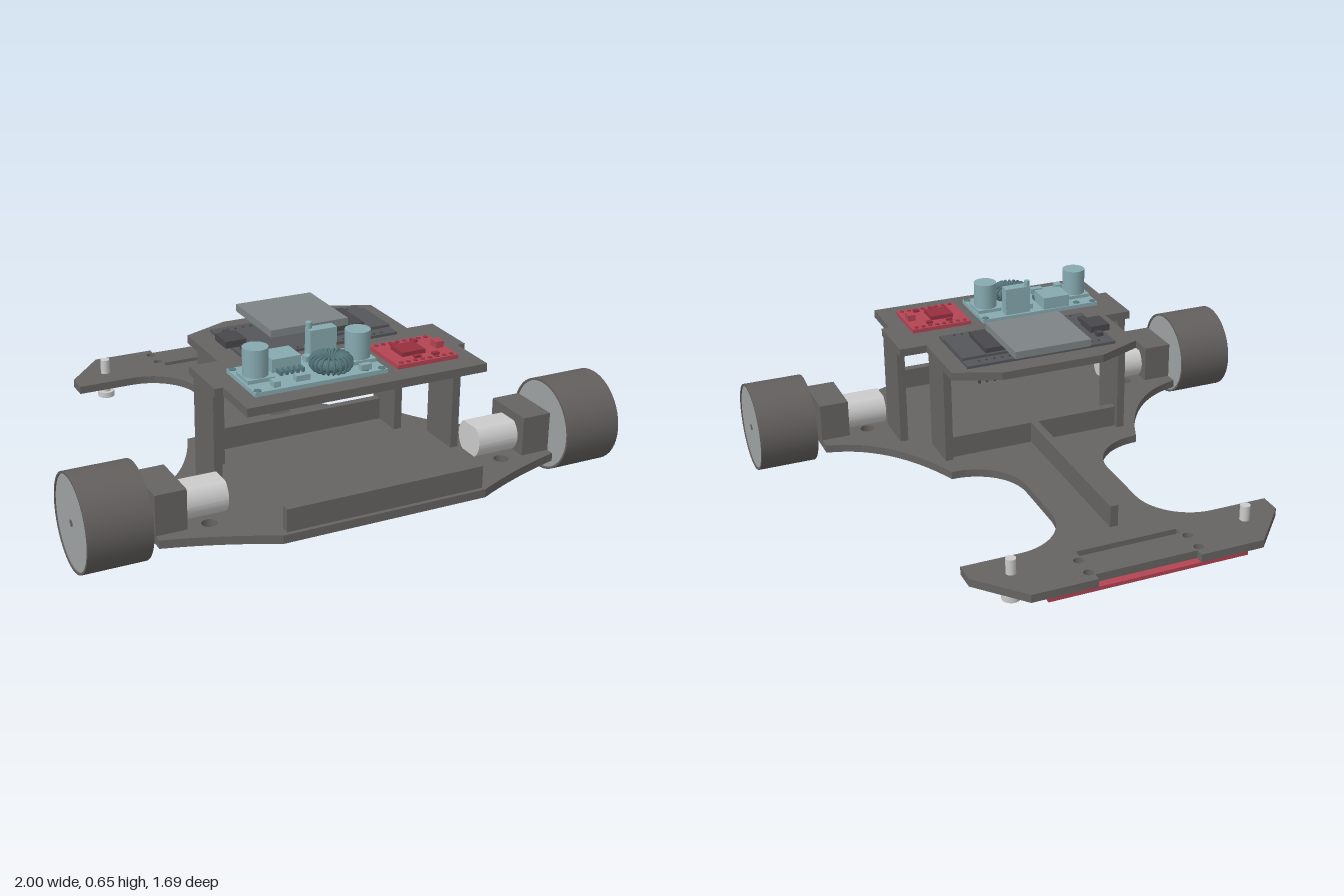
import * as THREE from 'three';

const mat = (color) => new THREE.MeshStandardMaterial({ color });
const M = {
  frame: mat(0x666462), tyre: mat(0x625f5d), hub: mat(0x9fa3a4), metal: mat(0xcccccc),
  pcb: mat(0x55565a), chip: mat(0x48484b), screen: mat(0x7d8485),
  teal: mat(0x86aab0), coil: mat(0x56777c), red: mat(0xb34453), darkRed: mat(0x96303f),
};

export function createModel() {
  const root = new THREE.Group();

  const add = (name, geo, material, parent = root) => {
    const m = new THREE.Mesh(geo, material);
    m.name = name;
    parent.add(m);
    return m;
  };
  // Box given by its extents on each axis
  const box = (name, [x0, x1], [y0, y1], [z0, z1], material, parent) => {
    const m = add(name, new THREE.BoxGeometry(x1 - x0, y1 - y0, z1 - z0), material, parent);
    m.position.set((x0 + x1) / 2, (y0 + y1) / 2, (z0 + z1) / 2);
    return m;
  };
  // Upright cylinder
  const post = (name, x, z, r, y0, y1, material, parent, n = 24) => {
    const m = add(name, new THREE.CylinderGeometry(r, r, y1 - y0, n), material, parent);
    m.position.set(x, (y0 + y1) / 2, z);
    return m;
  };
  // Cylinder along x
  const axle = (name, x0, x1, y, z, r, material, parent, n = 32) => {
    const m = add(name, new THREE.CylinderGeometry(r, r, x1 - x0, n), material, parent);
    m.rotation.z = Math.PI / 2;
    m.position.set((x0 + x1) / 2, y, z);
    return m;
  };
  const group = (name) => {
    const g = new THREE.Group();
    g.name = name;
    root.add(g);
    return g;
  };
  // Flat plate from the +x half of an (x, z) outline, mirrored, with holes
  const plate = (name, half, y0, y1, holes, material, parent) => {
    const pts = half.getPoints(14);
    const mirrored = pts.map((p) => new THREE.Vector2(-p.x, p.y)).reverse();
    const shape = new THREE.Shape([...pts, ...mirrored]);
    shape.holes = holes;
    const geo = new THREE.ExtrudeGeometry(shape, { depth: y1 - y0, bevelEnabled: false });
    geo.rotateX(Math.PI / 2).translate(0, y1, 0);
    return add(name, geo, material, parent);
  };
  const outline = (...pts) => {
    const s = new THREE.Path();
    pts.forEach(([x, z], i) => (i ? s.lineTo(x, z) : s.moveTo(x, z)));
    return s;
  };
  const round = (x, z, r) => new THREE.Path().absarc(x, z, r, 0, Math.PI * 2, true);
  const slot = (x0, x1, z0, z1) => outline([x0, z0], [x0, z1], [x1, z1], [x1, z0]);
  const both = (fn) => [-1, 1].map(fn);

  // Chassis plate with waist, rear crossbar and wheel wings
  const half = outline([0.19, -0.82], [0.19, -0.85], [0.43, -0.85], [0.58, -0.68], [0.58, -0.6], [0.365, -0.6]);
  half.bezierCurveTo(0.255, -0.6, 0.165, -0.51, 0.165, -0.4);
  half.lineTo(0.165, -0.17);
  half.bezierCurveTo(0.165, -0.06, 0.255, 0.03, 0.38, 0.03);
  half.quadraticCurveTo(0.51, 0.375, 0.75, 0.42);
  half.lineTo(0.75, 0.7);
  half.quadraticCurveTo(0.56, 0.75, 0.38, 0.84);
  const holes = [slot(-0.19, 0.19, -0.695, -0.665)];
  both((s) => {
    for (const z of [-0.8, -0.72]) holes.push(round(s * 0.205, z, 0.018));
    for (const z of [0.5, 0.66]) holes.push(round(s * 0.56, z, 0.027));
  });
  plate('chassisPlate', half, 0.088, 0.118, holes, M.frame);

  // Stiffening ribs
  box('spineRib', [-0.015, 0.015], [0.118, 0.2], [-0.565, 0.14], M.frame);
  box('crossRib', [-0.34, 0.34], [0.118, 0.2], [0.14, 0.17], M.frame);
  box('frontRib', [-0.36, 0.375], [0.118, 0.2], [0.793, 0.825], M.frame);

  // Line sensor board below the crossbar
  plate('sensorBoard', outline([0.37, -0.85], [0.37, -0.66]), 0.074, 0.088,
    both((s) => round(s * 0.205, -0.8, 0.017)), M.red);

  // Raised deck and its four uprights
  plate('deck', outline([0.2, -0.042], [0.37, 0.03], [0.37, 0.3], [0.475, 0.3], [0.475, 0.52],
    [0.445, 0.52], [0.445, 0.71]), 0.49, 0.52, [], M.frame);

  both((s) => {
    const span = (a, b) => (s > 0 ? [a, b] : [-b, -a]);
    box('frontUpright', span(0.445, 0.475), [0.118, 0.515], [0.34, 0.505], M.frame);
    box('rearUpright', span(0.34, 0.37), [0.118, 0.49], [0.12, 0.28], M.frame);

    // Skid bolt with nut at the rear
    const bolt = group('skidBolt');
    post('boltShaft', s * 0.44, -0.7, 0.018, 0.03, 0.175, M.metal, bolt);
    post('boltHead', s * 0.44, -0.7, 0.033, 0.02, 0.042, M.metal, bolt);
    post('boltNut', s * 0.44, -0.7, 0.03, 0.066, 0.088, M.metal, bolt, 6);

    // Gear motor: can with flattened top and bottom
    const drive = group('gearMotor');
    box('gearbox', span(0.64, 0.75), [0.118, 0.262], [0.47, 0.67], M.frame, drive);
    const can = new THREE.CylinderGeometry(0.068, 0.068, 0.16, 48);
    const p = can.attributes.position;
    for (let i = 0; i < p.count; i++) p.setX(i, THREE.MathUtils.clamp(p.getX(i), -0.055, 0.055));
    can.computeVertexNormals();
    const motor = add('motorCan', can, M.metal, drive);
    motor.rotation.z = Math.PI / 2;
    motor.position.set(s * 0.56, 0.175, 0.57);
    axle('motorShaft', ...span(0.74, 0.985), 0.177, 0.575, 0.017, M.metal, drive);

    // Wheel: tyre ring around a slightly recessed hub
    const wheel = group('wheel');
    const profile = [[0.16, -0.11], [0.168, -0.11], [0.168, 0.11], [0.16, 0.11], [0.16, -0.11]];
    const ring = profile.slice(1).map((b, i) => [profile[i], b]);
    for (const pair of ring) {
      const lathe = new THREE.LatheGeometry(pair.map(([r, y]) => new THREE.Vector2(r, y)), 48);
      const t = add('tyre', lathe, M.tyre, wheel);
      t.rotation.z = Math.PI / 2;
      t.position.set(s * 0.89, 0.177, 0.575);
    }
    axle('hub', ...span(0.784, 0.996), 0.177, 0.575, 0.161, M.hub, wheel, 48);
    axle('hubBore', ...span(0.99, 0.998), 0.177, 0.575, 0.012, M.tyre, wheel);
  });

  // Voltage converter board
  const conv = group('converterBoard');
  box('converterPcb', [-0.385, 0.1], [0.52, 0.535], [0.41, 0.64], M.teal, conv);
  for (const x of [-0.33, 0.048]) {
    box('capacitorBase', [x - 0.048, x + 0.048], [0.535, 0.548], [0.472, 0.568], M.teal, conv);
    post('capacitor', x, 0.52, 0.044, 0.548, 0.645, M.teal, conv);
  }
  box('regulator', [-0.265, -0.158], [0.535, 0.582], [0.415, 0.51], M.teal, conv);
  for (let i = 0; i < 5; i++) {
    const x = -0.25 + i * 0.02;
    box('regulatorLead', [x, x + 0.01], [0.535, 0.55], [0.51, 0.545], M.coil, conv);
  }
  box('trimmer', [-0.1, 0], [0.535, 0.64], [0.42, 0.462], M.teal, conv);
  post('trimmerScrew', -0.092, 0.432, 0.011, 0.64, 0.662, M.teal, conv);
  for (const [x, z, w, d] of [[-0.2, 0.6, 0.05, 0.025], [-0.3, 0.61, 0.025, 0.035], [-0.11, 0.46, 0.025, 0.03], [0.03, 0.61, 0.04, 0.02]])
    box('smallPart', [x - w / 2, x + w / 2], [0.535, 0.555], [z - d / 2, z + d / 2], M.teal, conv);
  for (const [x, z] of [[-0.305, 0.435], [0.028, 0.615], [-0.37, 0.425], [-0.37, 0.625], [0.085, 0.425], [0.085, 0.625]])
    post('mountPad', x, z, 0.013, 0.535, 0.537, M.coil, conv, 16);

  // Wound ring inductor
  const core = add('inductorCore', new THREE.TorusGeometry(0.045, 0.021, 10, 32), M.coil, conv);
  core.rotation.x = Math.PI / 2;
  core.position.set(-0.08, 0.568, 0.575);
  for (let i = 0; i < 20; i++) {
    const a = (i / 20) * Math.PI * 2;
    const turn = add('inductorTurn', new THREE.TorusGeometry(0.026, 0.005, 5, 14), M.coil, conv);
    turn.position.set(-0.08 + 0.045 * Math.cos(a), 0.568, 0.575 + 0.045 * Math.sin(a));
    turn.rotation.y = -a;
  }

  // Motor driver board
  const driver = group('driverBoard');
  box('driverPcb', [0.145, 0.38], [0.52, 0.535], [0.425, 0.63], M.red, driver);
  box('driverChip', [0.195, 0.285], [0.535, 0.55], [0.488, 0.57], M.darkRed, driver);
  box('driverCapacitor', [0.34, 0.37], [0.535, 0.558], [0.51, 0.55], M.red, driver);
  for (let i = 0; i < 8; i++)
    for (const z of [0.441, 0.614]) post('driverPad', 0.165 + i * 0.028, z, 0.008, 0.535, 0.538, M.darkRed, driver, 12);
  for (const [x, z] of [[0.22, 0.465], [0.3, 0.465], [0.31, 0.595], [0.24, 0.592]])
    box('driverPart', [x - 0.012, x + 0.012], [0.535, 0.544], [z - 0.008, z + 0.008], M.darkRed, driver);

  // Controller board with pins through the deck
  const ctrl = group('controllerBoard');
  box('controllerPcb', [-0.285, 0.305], [0.52, 0.53], [0.035, 0.34], M.pcb, ctrl);
  for (let i = 0; i < 17; i++) {
    const x = -0.23 + i * 0.03;
    for (const z of [0.065, 0.325]) box('controllerPin', [x - 0.004, x + 0.004], [0.442, 0.533], [z - 0.004, z + 0.004], M.chip, ctrl);
  }
  box('usbSocket', [-0.31, -0.232], [0.53, 0.555], [0.14, 0.232], M.chip, ctrl);
  for (const z of [0.11, 0.265]) box('button', [-0.265, -0.24], [0.53, 0.545], [z - 0.013, z + 0.013], M.chip, ctrl);
  box('radioModule', [0.04, 0.305], [0.53, 0.54], [0.09, 0.285], M.pcb, ctrl);
  box('radioShield', [0.04, 0.21], [0.54, 0.558], [0.1, 0.27], M.chip, ctrl);

  // Flat slab resting on the controller
  box('topSlab', [-0.155, 0.145], [0.558, 0.585], [-0.03, 0.27], M.screen);

  return root;
}
